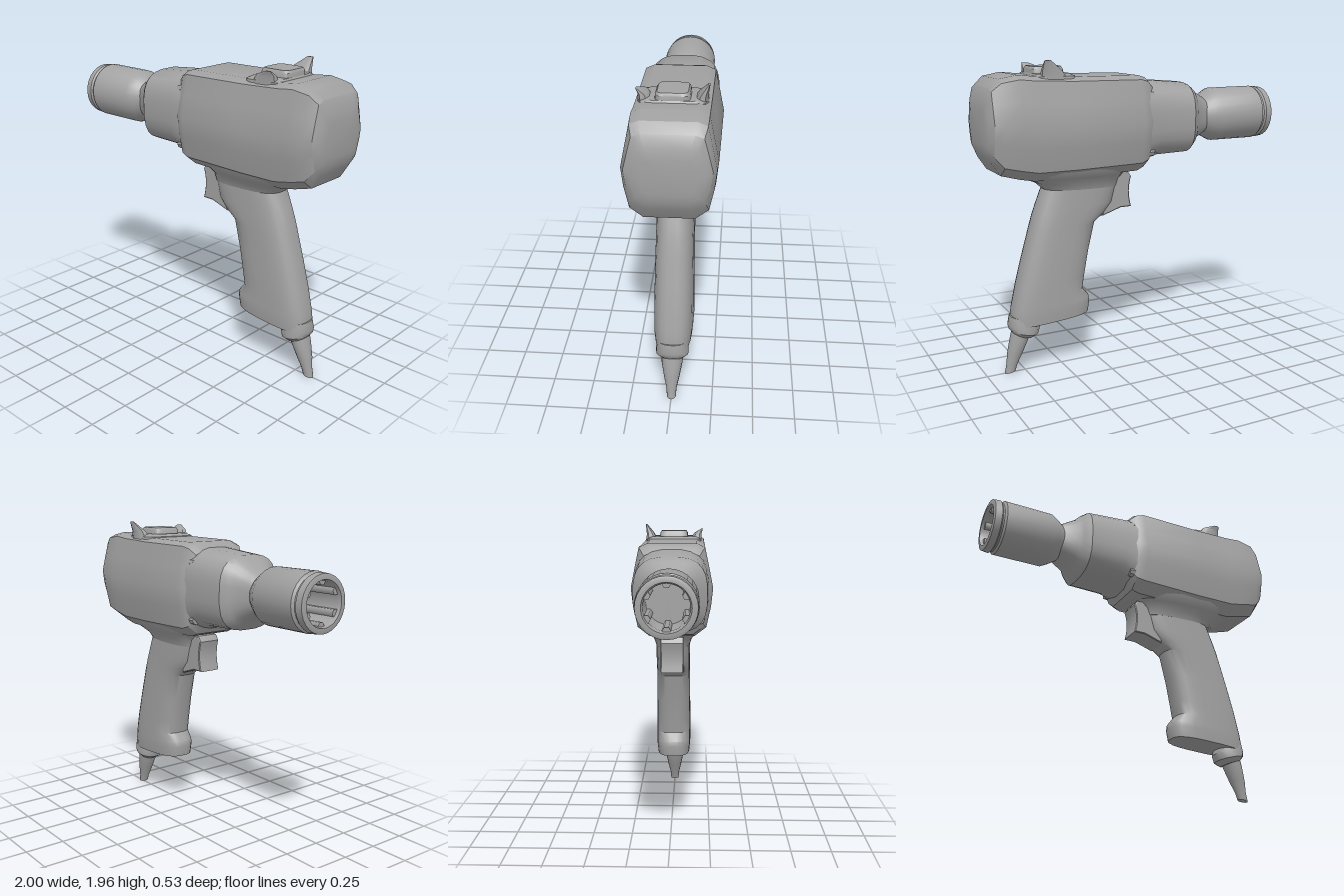
import * as THREE from 'three';
import { toCreasedNormals } from 'three/addons/utils/BufferGeometryUtils.js';

const V = (x, y, z) => new THREE.Vector3(x, y, z);
const grey = new THREE.MeshStandardMaterial({ color: 0xa2a2a2 });
grey.name = 'castGrey';
const greyOpen = grey;

// Unit outline: superellipse with exponent p
function outline(n, p) {
  return Array.from({ length: n }, (_, i) => {
    const t = ((i + 0.5) / n) * Math.PI * 2, c = Math.cos(t), s = Math.sin(t);
    return [Math.sign(c) * Math.abs(c) ** (2 / p), Math.sign(s) * Math.abs(s) ** (2 / p)];
  });
}
// Ring of points: outline scaled by the half axes a and b about a centre
const ring = (unit, c, a, b) => unit.map(([u, v]) => c.clone().addScaledVector(a, u).addScaledVector(b, v));

// Closed skin through a list of rings, flipped outward if needed
function loft(rings, crease = 0.6) {
  const n = rings[0].length, pts = rings.flat(), idx = [];
  for (let r = 0; r < rings.length - 1; r++)
    for (let i = 0; i < n; i++) {
      const a = r * n + i, b = r * n + ((i + 1) % n);
      idx.push(a, b, a + n, b, b + n, a + n);
    }
  for (const [r, flip] of [[0, true], [rings.length - 1, false]]) {
    const c = V(0, 0, 0);
    rings[r].forEach(p => c.addScaledVector(p, 1 / n));
    pts.push(c);
    for (let i = 0; i < n; i++) {
      const a = r * n + i, b = r * n + ((i + 1) % n);
      idx.push(pts.length - 1, flip ? b : a, flip ? a : b);
    }
  }
  let volume = 0;
  for (let i = 0; i < idx.length; i += 3)
    volume += pts[idx[i]].dot(pts[idx[i + 1]].clone().cross(pts[idx[i + 2]]));
  if (volume < 0) idx.reverse();
  const g = new THREE.BufferGeometry().setFromPoints(pts);
  g.setIndex(idx);
  return toCreasedNormals(g, crease);
}

// Rings across x: [x, bottom, top, half width]
const alongX = (unit, rows) => rows.map(([x, y0, y1, w]) =>
  ring(unit, V(x, (y0 + y1) / 2, 0), V(0, 0, w), V(0, (y1 - y0) / 2, 0)));
// Rings down the grip: [front x, front y, back x, back y, half width]
const alongGrip = (unit, rows) => rows.map(([x0, y0, x1, y1, w]) =>
  ring(unit, V((x0 + x1) / 2, (y0 + y1) / 2, 0), V((x1 - x0) / 2, (y1 - y0) / 2, 0), V(0, 0, w)));

export function createModel() {
  const model = new THREE.Group();
  const add = (name, geometry, material = grey) => {
    const m = new THREE.Mesh(geometry, material);
    m.name = name;
    model.add(m);
    return m;
  };

  // Motor housing: faceted, widest at mid height
  const half = [[0.6, 1], [0.8, 0.92], [0.9, 0.5], [1, 0.05], [0.95, -0.35], [0.84, -0.8], [0.55, -1]];
  const housing = [...half, ...half.map(([u, v]) => [-u, v]).reverse()];
  add('motorHousing', loft(alongX(housing, [
    [-0.07, 1.34, 1.80, 0.22], [-0.03, 1.28, 1.84, 0.25], [0.02, 1.26, 1.855, 0.265],
    [0.45, 1.25, 1.86, 0.262], [0.7, 1.25, 1.87, 0.26], [0.8, 1.27, 1.88, 0.26],
    [0.91, 1.3, 1.86, 0.255], [0.965, 1.38, 1.81, 0.235], [0.99, 1.43, 1.74, 0.2], [1.0, 1.48, 1.68, 0.15],
  ]), 0.5));

  // Hammer case in front of the housing
  add('hammerCase', loft(alongX(outline(24, 2.9), [
    [-0.53, 1.46, 1.68, 0.11], [-0.5, 1.445, 1.70, 0.125], [-0.43, 1.41, 1.74, 0.155],
    [-0.40, 1.37, 1.77, 0.19], [-0.36, 1.34, 1.795, 0.225], [-0.12, 1.335, 1.815, 0.235], [-0.02, 1.3, 1.825, 0.24],
  ])));

  // Two bosses on the upper front shoulders, two below
  for (const s of [-1, 1])
    for (const y of [1.73, 1.38]) {
      const b = new THREE.CylinderGeometry(0.03, 0.035, 0.06, 8).rotateZ(Math.PI / 2);
      b.translate(-0.045, y, s * 0.18);
      add('housingBolt', toCreasedNormals(b, 0.6));
    }

  // Socket: turned shell with an end groove and an open bore
  const profile = [[0.09, -0.5], [0.12, -0.51], [0.15, -0.555], [0.175, -0.6], [0.176, -0.92],
    [0.16, -0.932], [0.16, -0.942], [0.172, -0.952], [0.168, -0.995], [0.155, -1.0],
    [0.135, -1.0], [0.125, -0.97], [0.125, -0.72], [0, -0.72]];
  const socket = new THREE.LatheGeometry(profile.map(([r, x]) => new THREE.Vector2(r, -x)), 28);
  socket.rotateZ(Math.PI / 2).translate(0, 1.57, 0);
  add('socket', toCreasedNormals(socket, 0.6));
  // Ribs giving the bore its flats
  for (let i = 0; i < 6; i++) {
    const t = (i / 6) * Math.PI * 2;
    const rib = new THREE.CylinderGeometry(0.025, 0.025, 0.26, 6).rotateZ(Math.PI / 2);
    rib.translate(-0.85, 1.57 + 0.125 * Math.cos(t), 0.125 * Math.sin(t));
    add('socketRib', rib);
  }

  // Neck blending the housing into the grip
  add('gripNeck', loft(alongGrip(outline(24, 3), [
    [-0.02, 1.36, 0.92, 1.36, 0.22], [0.0, 1.3, 0.86, 1.3, 0.205], [0.07, 1.245, 0.73, 1.25, 0.165],
    [0.1, 1.21, 0.64, 1.21, 0.132], [0.11, 1.16, 0.6, 1.17, 0.115],
  ])));

  // Slanted grip with a flared foot
  add('grip', loft(alongGrip(outline(24, 3), [
    [0.11, 1.18, 0.6, 1.18, 0.115], [0.14, 1.06, 0.645, 1.07, 0.115], [0.2, 0.99, 0.67, 1.0, 0.115],
    [0.27, 0.94, 0.69, 0.93, 0.115], [0.315, 0.76, 0.75, 0.72, 0.118], [0.345, 0.6, 0.79, 0.57, 0.12],
    [0.36, 0.51, 0.81, 0.48, 0.12], [0.315, 0.455, 0.825, 0.42, 0.12], [0.31, 0.42, 0.83, 0.38, 0.12],
    [0.32, 0.35, 0.835, 0.315, 0.113],
  ])));

  // Trigger: curved blade at the top of the grip
  const shape = new THREE.Shape();
  shape.moveTo(0.05, 1.24);
  shape.lineTo(0.03, 1.21);
  shape.quadraticCurveTo(0.06, 1.12, 0.03, 1.02);
  shape.lineTo(0.1, 1.02);
  shape.lineTo(0.22, 0.98);
  shape.lineTo(0.22, 1.25);
  const blade = new THREE.ExtrudeGeometry(shape, {
    depth: 0.12, bevelEnabled: true, bevelSize: 0.008, bevelThickness: 0.015, bevelSegments: 2, curveSegments: 6,
  }).translate(0, 0, -0.06);
  add('trigger', toCreasedNormals(blade, 0.6));

  // Air inlet collar and tapered nipple
  add('inletCollar', loft(alongGrip(outline(18, 2.2), [
    [0.67, 0.36, 0.84, 0.38, 0.09], [0.65, 0.295, 0.852, 0.32, 0.1],
    [0.665, 0.25, 0.845, 0.29, 0.1], [0.71, 0.225, 0.825, 0.265, 0.07],
  ])));
  add('inletNipple', loft(alongGrip(outline(14, 2), [
    [0.71, 0.27, 0.83, 0.28, 0.068], [0.725, 0.22, 0.845, 0.22, 0.065], [0.765, 0.13, 0.865, 0.13, 0.048],
    [0.8, 0.06, 0.872, 0.06, 0.032], [0.815, 0.015, 0.885, 0.003, 0.028],
  ])));

  // Hanger mount on top: base, square pad and two pointed lugs
  const square = outline(20, 6);
  const alongY = rows => rows.map(([y, x, a, b]) => ring(square, V(x, y, 0), V(a, 0, 0), V(0, 0, b)));
  add('mountBase', loft(alongY([[1.82, 0.56, 0.135, 0.19], [1.865, 0.56, 0.13, 0.185], [1.88, 0.57, 0.11, 0.15]])));
  add('mountPad', loft(alongY([[1.86, 0.575, 0.105, 0.1], [1.905, 0.58, 0.1, 0.095], [1.92, 0.58, 0.09, 0.085]])));
  for (const s of [-1, 1]) {
    const tip = s < 0 ? 1.96 : 1.93;
    const lug = outline(8, 2.5);
    add('mountLug', loft([
      ring(lug, V(0.57, 1.84, s * 0.15), V(0.09, 0, 0), V(0, 0, 0.045)),
      ring(lug, V(0.59, 1.9, s * 0.165), V(0.065, 0, 0), V(0, 0, 0.028)),
      ring(lug, V(0.625, tip, s * 0.195), V(0.02, 0, 0), V(0, 0, 0.006)),
    ]));
  }

  return model;
}
